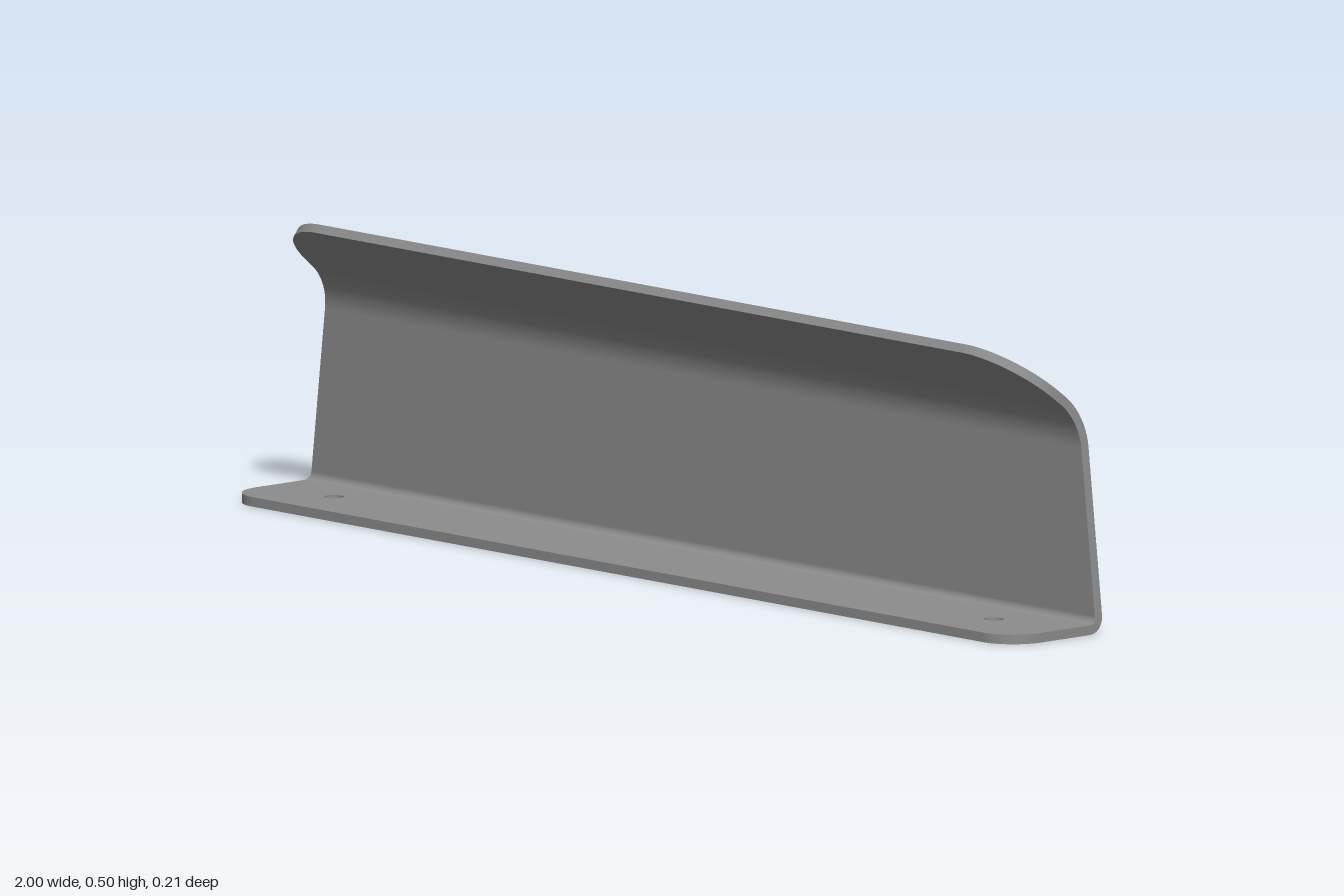
import * as THREE from 'three';

const T = 0.0166;          // sheet thickness
const SEAM_Z = -0.077;     // where the flat flange meets the lower bend
const FRONT_Z = 0.1065;
const TIP_RADIUS = 0.12;   // rounded corners of the hood
const rad = THREE.MathUtils.degToRad;

// Flat mounting flange with rounded front corners and two screw holes
function flangeGeometry() {
  const r = 0.07;
  const s = new THREE.Shape();
  s.moveTo(-1, SEAM_Z);
  s.lineTo(1, SEAM_Z);
  s.lineTo(1, FRONT_Z - r);
  s.absarc(1 - r, FRONT_Z - r, r, 0, Math.PI / 2, false);
  s.lineTo(-1 + r, FRONT_Z);
  s.absarc(-1 + r, FRONT_Z - r, r, Math.PI / 2, Math.PI, false);
  s.closePath();
  for (const x of [-0.84, 0.84]) {
    s.holes.push(new THREE.Path().absarc(x, 0, 0.017, 0, Math.PI * 2, true));
  }
  const g = new THREE.ExtrudeGeometry(s, { depth: T, bevelEnabled: false, curveSegments: 20 });
  return g.rotateX(Math.PI / 2).translate(0, T, 0);
}

// Stations along the sheet's mid-line: z, y, angle of the outward normal, half width
function sheetStations() {
  const list = [];
  const add = (z, y, a, inset = 0) =>
    list.push({ z, y, a, w: 1 - 0.12 * Math.max(0, y - 0.01) - inset });
  const arc = (cz, cy, r, from, to, n) => {
    for (let i = 0; i <= n; i++) {
      const a = rad(from + (to - from) * i / n);
      add(cz + r * Math.cos(a), cy + r * Math.sin(a), a);
    }
  };
  arc(SEAM_Z, 0.0303, 0.022, 270, 180, 10);   // lower bend
  add(-0.099, 0.10, Math.PI);
  add(-0.099, 0.25, Math.PI);
  arc(0.011, 0.317, 0.11, 180, 128, 14);      // upper bend
  const a = rad(128);
  for (let i = 0; i <= 16; i++) {             // sloping hood, narrowing at its corners
    const t = (i / 16) * Math.PI / 2;
    const d = TIP_RADIUS * (1 - Math.sin(t));
    add(0.053 - d * Math.sin(a), 0.4895 + d * Math.cos(a), a, TIP_RADIUS * (1 - Math.cos(t)));
  }
  return list;
}

// Upright wall and hood: four smooth strips with sharp edges between, plus the tip face
function sheetGeometry() {
  const stations = sheetStations();
  const pos = [], index = [];
  const point = (s, side, layer) => [
    side * s.w,
    s.y + layer * T / 2 * Math.sin(s.a),
    s.z + layer * T / 2 * Math.cos(s.a),
  ];
  const strip = (left, right) => {
    const base = pos.length / 3;
    stations.forEach((s, i) => {
      pos.push(...point(s, ...left), ...point(s, ...right));
      if (i === 0) return;
      const k = base + 2 * (i - 1);
      index.push(k, k + 1, k + 3, k, k + 3, k + 2);
    });
  };
  strip([-1, -1], [1, -1]);   // inner face
  strip([1, 1], [-1, 1]);     // outer face
  strip([1, -1], [1, 1]);     // left edge
  strip([-1, 1], [-1, -1]);   // right edge
  const tip = stations[stations.length - 1], b = pos.length / 3;
  for (const [side, layer] of [[-1, 1], [-1, -1], [1, -1], [1, 1]]) pos.push(...point(tip, side, layer));
  index.push(b, b + 1, b + 2, b, b + 2, b + 3);

  const g = new THREE.BufferGeometry();
  g.setAttribute('position', new THREE.Float32BufferAttribute(pos, 3));
  g.setIndex(index);
  g.computeVertexNormals();
  return g;
}

export function createModel() {
  const metal = new THREE.MeshStandardMaterial({ color: 0x8c8c8c });
  metal.name = 'grey metal';
  const group = new THREE.Group();
  group.name = 'bentSheetBracket';
  const add = (name, geometry) => {
    const mesh = new THREE.Mesh(geometry, metal);
    mesh.name = name;
    group.add(mesh);
  };
  add('mountingFlange', flangeGeometry());
  add('wallAndHood', sheetGeometry());
  return group;
}
